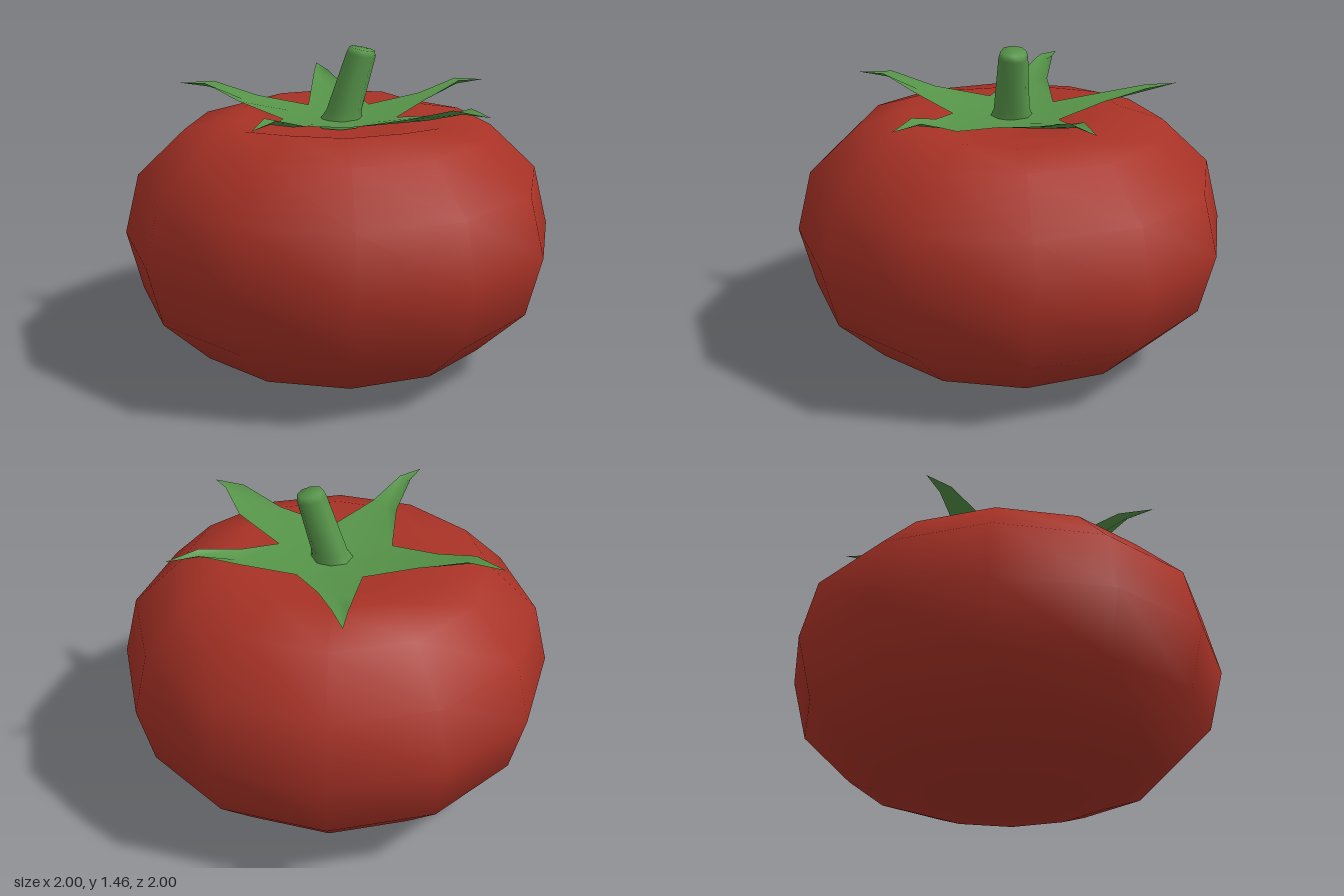
import * as THREE from 'three';
import { mergeVertices } from 'three/addons/utils/BufferGeometryUtils.js';

const red = new THREE.MeshStandardMaterial({ name: 'ripe red', color: 0xa83226 });
const green = new THREE.MeshStandardMaterial({ name: 'leaf green', color: 0x569449, side: THREE.DoubleSide });

// Weld coincident vertices and shade smoothly
function smooth(geometry) {
  geometry.deleteAttribute('uv');
  geometry.deleteAttribute('normal');
  const welded = mergeVertices(geometry, 1e-4);
  welded.computeVertexNormals();
  return welded;
}

// Squat twelve-sided fruit, with a shoulder that is higher at front and back
function fruit() {
  const profile = [[0, 0], [0.25, 0.005], [0.5, 0.03], [0.71, 0.105], [0.93, 0.32], [1, 0.6],
    [0.93, 0.88], [0.71, 1.09], [0.5, 1.16], [0.26, 1.105], [0, 1.09]];
  const geometry = new THREE.LatheGeometry(profile.map(([r, y]) => new THREE.Vector2(r, y)), 12);
  const p = geometry.attributes.position;
  for (let i = 0; i < p.count; i++) {
    if (Math.abs(p.getY(i) - 1.16) > 0.001) continue;
    const z = Math.abs(p.getZ(i));
    p.setY(i, z > 0.4 ? 1.16 : z > 0.2 ? 1.135 : 1.125);
  }
  return new THREE.Mesh(smooth(geometry), red);
}

// Five-pointed crown: each sepal is a folded blade between two notches
function crown() {
  const notches = [[-0.13, -0.21], [0.16, -0.2], [0.26, 0.08], [0.02, 0.27], [-0.26, 0.08]];
  // tip x, tip z, then the two bends along its edges
  const sepals = [
    [[-0.06, -0.78], [-0.1, -0.45], [0.055, -0.43]],
    [[0.72, -0.28], [0.4, -0.21], [0.42, -0.07]],
    [[0.6, 0.54], [0.46, 0.27], [0.27, 0.35]],
    [[-0.4, 0.7], [-0.17, 0.44], [-0.28, 0.34]],
    [[-0.74, -0.3], [-0.46, -0.08], [-0.37, -0.21]],
  ];
  const points = [];
  const v = ([x, z], y) => new THREE.Vector3(x, y, z);
  const tri = (a, b, c) => [a, c, b].forEach((q) => points.push(q.x, q.y, q.z));
  const quad = (a, b, c, d) => { tri(a, b, c); tri(a, c, d); };
  const centre = v([0, 0], 1.125);
  sepals.forEach(([tipXZ, bendA, bendB], i) => {
    const tip = v(tipXZ, 1.247);
    const lift = i === 0 ? 0 : 0.025;
    const edge = (notch, bend) => {
      const b = v(bend, 1.2);
      const c = b.clone().lerp(tip, 0.56);
      c.y = 1.237 + lift;
      return [v(notch, 1.15), b, c];
    };
    const left = edge(notches[i], bendA);
    const right = edge(notches[(i + 1) % 5], bendB);
    const drop = [0, 0.015, 0.022];
    const rib = left.map((q, k) => q.clone().lerp(right[k], 0.5).setY(q.y - drop[k]));
    tri(centre, left[0], rib[0]);
    tri(centre, rib[0], right[0]);
    for (let k = 0; k < 2; k++) {
      quad(rib[k], left[k], left[k + 1], rib[k + 1]);
      quad(right[k], rib[k], rib[k + 1], right[k + 1]);
    }
    tri(rib[2], left[2], tip);
    tri(right[2], rib[2], tip);
  });
  const geometry = new THREE.BufferGeometry();
  geometry.setAttribute('position', new THREE.Float32BufferAttribute(points, 3));
  return new THREE.Mesh(smooth(geometry), green);
}

// Leaning stalk with a flared foot and a slanted, slightly bevelled end
function stalk() {
  const rings = [[0, 1.1, 0.108], [0.025, 1.17, 0.082], [0.102, 1.425, 0.066],
    [0.108, 1.453, 0.058], [0.108, 1.453, 0]];
  const profile = rings.map(([, , r], k) => new THREE.Vector2(r, k));
  const geometry = new THREE.LatheGeometry(profile, 8);
  const p = geometry.attributes.position;
  for (let i = 0; i < p.count; i++) {
    const k = Math.round(p.getY(i));
    const [cx, cy] = rings[k];
    const x = p.getX(i);
    p.setXYZ(i, cx + x, cy - x * (k > 1 ? 0.2 : 0), p.getZ(i));
  }
  return new THREE.Mesh(smooth(geometry), green);
}

export function createModel() {
  const model = new THREE.Group();
  model.name = 'tomato';
  const parts = { fruit: fruit(), sepalCrown: crown(), stalk: stalk() };
  for (const [name, mesh] of Object.entries(parts)) {
    mesh.name = name;
    model.add(mesh);
  }
  return model;
}
